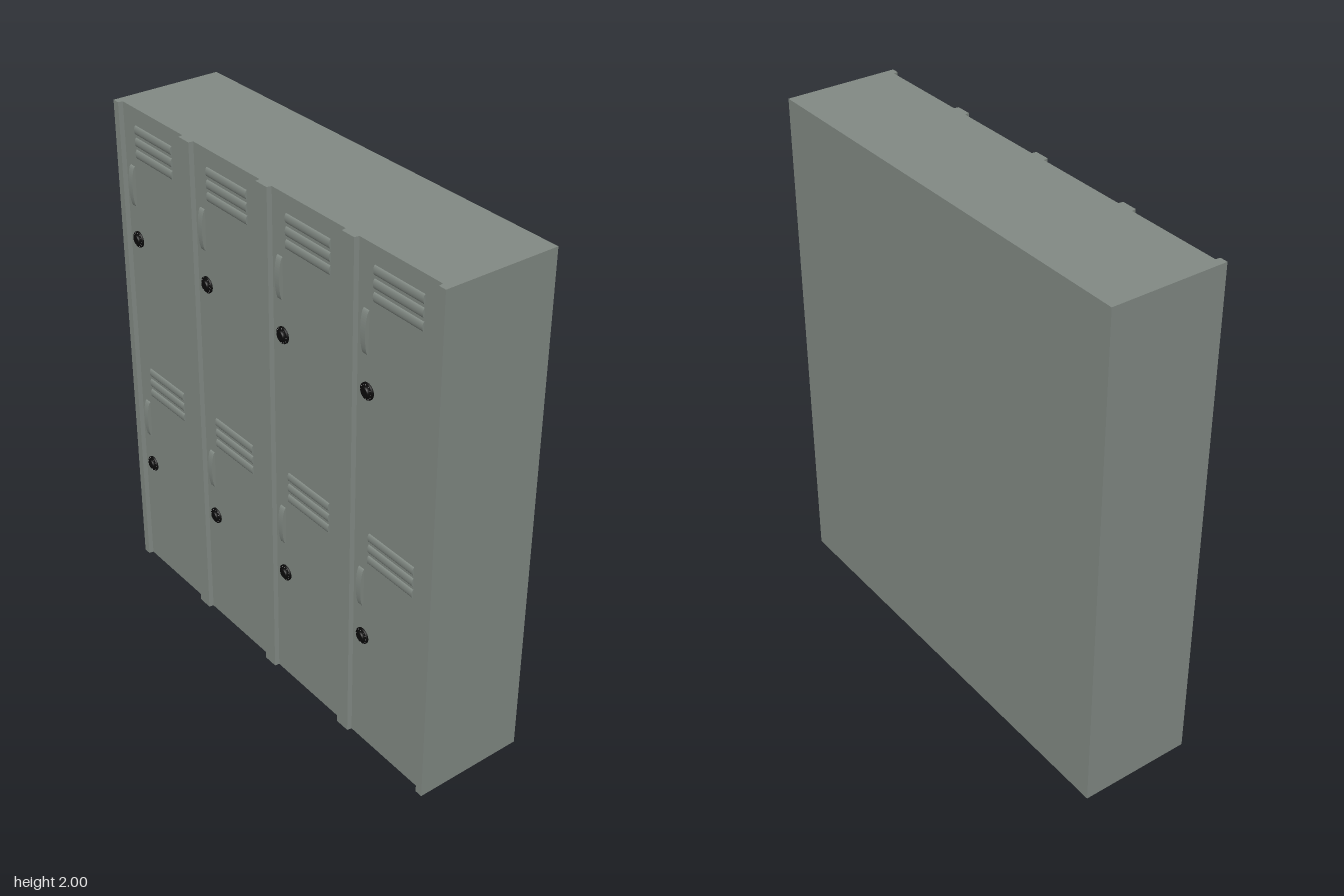
import * as THREE from 'three';

const W = 0.4445, DOOR_Z = 0.202, FRONT = 0.22, BACK = -0.222;

function mesh(name, geometry, material, x = 0, y = 0, z = 0) {
  const m = new THREE.Mesh(geometry, material);
  m.name = name;
  m.position.set(x, y, z);
  return m;
}

// Extrudes a (z, y) side profile along x, centred on x = 0
function extrudeAcross(shape, width) {
  const g = new THREE.ExtrudeGeometry(shape, { depth: width, bevelEnabled: false, curveSegments: 12 });
  g.translate(0, 0, -width / 2);
  g.rotateY(-Math.PI / 2);
  g.scale(-1, 1, 1);
  // mirrored back by a half turn so that the profile bulges towards +z
  g.scale(-1, 1, 1);
  return g;
}

// Half-oval side profile bulging to +z
function bulge(height, depth) {
  const s = new THREE.Shape();
  s.absellipse(0, 0, depth, height / 2, -Math.PI / 2, Math.PI / 2, false);
  s.closePath();
  return s;
}

export function createModel() {
  const model = new THREE.Group();
  model.name = 'lockers';
  const steel = new THREE.MeshStandardMaterial({ color: 0x828a84 });
  steel.name = 'grey steel';
  const black = new THREE.MeshStandardMaterial({ color: 0x0a0a0a });
  black.name = 'black dial';
  const white = new THREE.MeshStandardMaterial({ color: 0xd8d8d8 });
  white.name = 'dial marks';

  const slatGeo = extrudeAcross(bulge(0.034, 0.007), 0.23);
  const bodyGeo = new THREE.BoxGeometry(W * 4, 1, DOOR_Z - BACK);

  // Handle: a slim lever, rising from the door and slightly narrower at the bottom
  const handleGeo = extrudeAcross(bulge(0.16, 0.015), 0.027);
  const hp = handleGeo.attributes.position;
  for (let i = 0; i < hp.count; i++) {
    const t = 0.5 - hp.getY(i) / 0.16;
    hp.setX(i, hp.getX(i) * (1 - 0.18 * t));
  }
  handleGeo.computeVertexNormals();

  // Dial: a wide skirt with a raised grip
  const dialGeo = new THREE.LatheGeometry([
    [0.031, 0], [0.031, 0.006], [0.029, 0.008], [0.02, 0.009],
    [0.018, 0.015], [0.015, 0.016], [0, 0.016],
  ].map(([r, h]) => new THREE.Vector2(r, h)), 24);
  dialGeo.rotateX(Math.PI / 2);
  const markGeo = new THREE.BoxGeometry(0.0012, 0.004, 0.001);

  function makeDoor() {
    const door = new THREE.Group();
    door.name = 'doorFittings';
    for (let i = 0; i < 3; i++) door.add(mesh('ventSlat', slatGeo, steel, 0.002, 0.918 - i * 0.046, 0));
    door.add(mesh('handle', handleGeo, steel, -0.148, 0.69, 0));
    const dial = new THREE.Group();
    dial.name = 'combinationDial';
    dial.position.set(-0.136, 0.48, 0);
    dial.add(mesh('dial', dialGeo, black));
    for (let i = 0; i < 12; i++) {
      const a = (i / 12) * Math.PI * 2;
      const mark = mesh('dialMark', markGeo, white, Math.sin(a) * 0.026, Math.cos(a) * 0.026, 0.0085);
      mark.rotation.z = -a;
      dial.add(mark);
    }
    door.add(dial);
    return door;
  }

  // Two stacked tiers of four lockers
  for (let tier = 0; tier < 2; tier++) {
    model.add(mesh('cabinetTier', bodyGeo, steel, 0, tier + 0.5, (DOOR_Z + BACK) / 2));
    for (let col = 0; col < 4; col++) {
      const door = makeDoor();
      door.position.set((col - 1.5) * W, tier, DOOR_Z);
      model.add(door);
    }
  }

  // Upright frame posts between and beside the doors
  for (let i = 0; i <= 4; i++) {
    const left = i === 0 ? 0 : -0.033;
    const right = i === 4 ? 0 : 0.033;
    const cl = i === 0 ? 0 : 0.003, cr = i === 4 ? 0 : 0.003;
    const s = new THREE.Shape([
      new THREE.Vector2(left, -DOOR_Z), new THREE.Vector2(left + cl, -FRONT),
      new THREE.Vector2(right - cr, -FRONT), new THREE.Vector2(right, -DOOR_Z),
    ]);
    const g = new THREE.ExtrudeGeometry(s, { depth: 2, bevelEnabled: false });
    g.rotateX(-Math.PI / 2);
    model.add(mesh('framePost', g, steel, (i - 2) * W, 0, 0));
  }
  return model;
}
